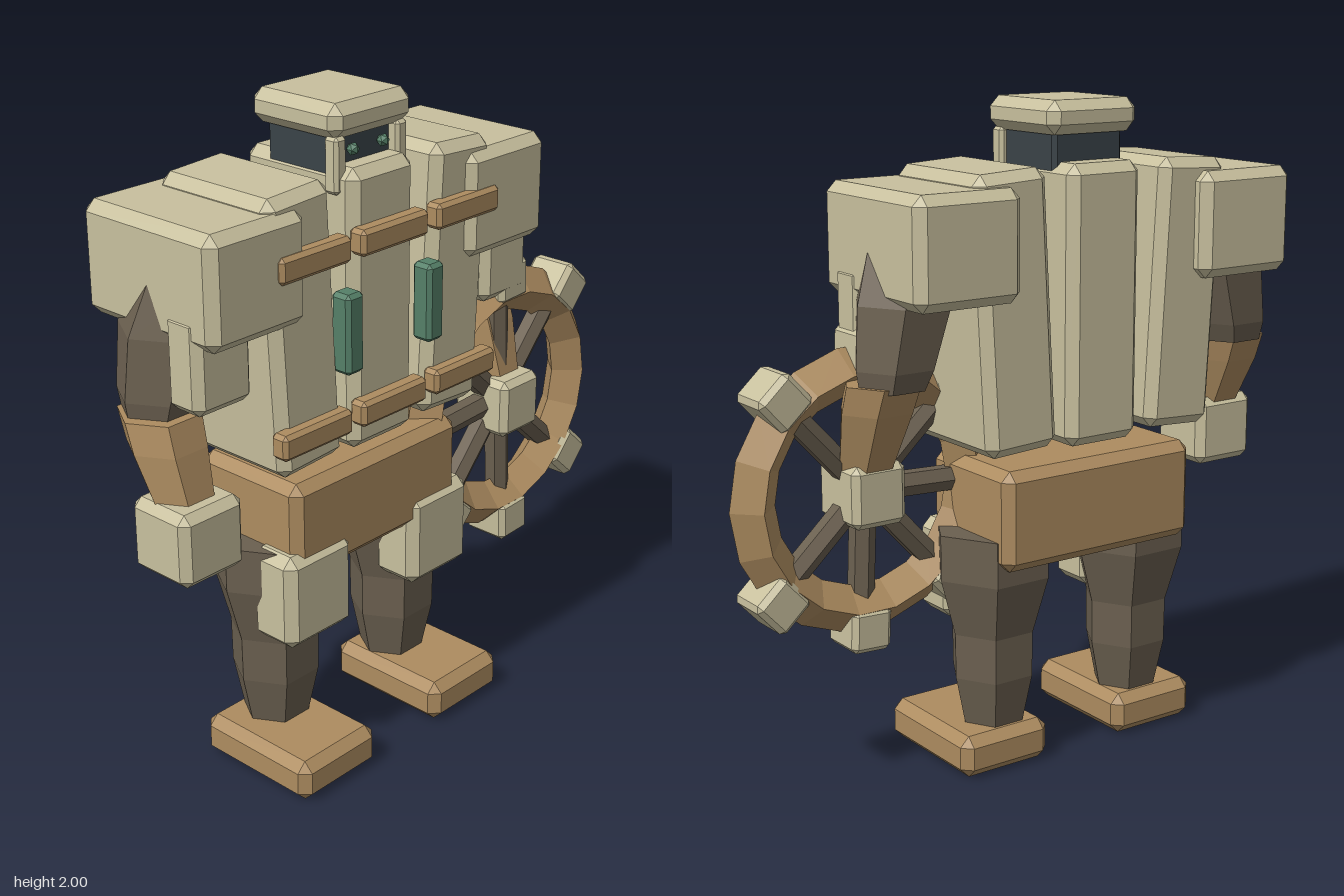
import * as THREE from 'three';
import { ConvexGeometry } from 'three/addons/geometries/ConvexGeometry.js';

const material = (name, color) => Object.assign(new THREE.MeshStandardMaterial({ color }), { name });

// Box with a single flat chamfer on every edge
function chamferBox(w, h, d, c) {
  const points = [];
  for (const x of [-1, 1]) for (const y of [-1, 1]) for (const z of [-1, 1]) {
    const X = x * w / 2, Y = y * h / 2, Z = z * d / 2;
    points.push(
      new THREE.Vector3(X, Y - y * c, Z - z * c),
      new THREE.Vector3(X - x * c, Y, Z - z * c),
      new THREE.Vector3(X - x * c, Y - y * c, Z));
  }
  return new ConvexGeometry(points);
}

function flat(geometry) {
  const g = geometry.index ? geometry.toNonIndexed() : geometry;
  g.computeVertexNormals();
  return g;
}

// Six-sided limb through rings [y, centre x, centre z, radius], listed bottom to top
function limb(rings, n = 6) {
  const pos = [], idx = [];
  for (const [y, cx, cz, r] of rings) for (let i = 0; i < n; i++) {
    const a = i / n * Math.PI * 2;
    pos.push(cx + r * Math.cos(a), y, cz + r * Math.sin(a));
  }
  const top = (rings.length - 1) * n;
  for (let k = 0; k < top; k += n) for (let i = 0; i < n; i++) {
    const j = (i + 1) % n;
    idx.push(k + i, k + n + i, k + j, k + j, k + n + i, k + n + j);
  }
  for (let i = 1; i < n - 1; i++) idx.push(0, i, i + 1, top, top + i + 1, top + i);
  const g = new THREE.BufferGeometry();
  g.setAttribute('position', new THREE.Float32BufferAttribute(pos, 3));
  g.setIndex(idx);
  return flat(g);
}

export function createModel() {
  const cream = material('cream armour', 0xc8c09e);
  const brown = material('tan brown', 0xad8c60);
  const dark = material('dark brown', 0x6b6050);
  const green = material('green', 0x558068);
  const black = material('visor slate', 0x3a4348);

  const model = new THREE.Group();
  model.name = 'robot';
  const body = new THREE.Group();
  body.name = 'body';
  body.position.x = -0.16;
  model.add(body);

  function add(name, geometry, mat, x = 0, y = 0, z = 0, parent = body) {
    const mesh = new THREE.Mesh(geometry, mat);
    mesh.name = name;
    mesh.position.set(x, y, z);
    parent.add(mesh);
    return mesh;
  }
  const box = (name, mat, size, at, c = 0.025, parent = body) =>
    add(name, chamferBox(...size, c), mat, ...at, parent);

  // Head: cap, visor and a dark neck sunk into the torso
  box('headCap', cream, [0.32, 0.098, 0.335], [0, 1.951, -0.012], 0.03);
  box('visor', black, [0.25, 0.16, 0.25], [0, 1.85, -0.015], 0.012);
  box('neck', black, [0.16, 0.12, 0.16], [0, 1.78, -0.02], 0.01);

  // Torso centre slab and pelvis
  box('chestCentre', cream, [0.26, 0.825, 0.425], [0, 1.412, -0.022], 0.03);
  box('pelvis', brown, [0.70, 0.305, 0.40], [0, 0.803, -0.025], 0.03);
  for (const y of [1.632, 1.128])
    box('centreStrap', brown, [0.272, 0.076, 0.06], [0, y, 0.205], 0.012);

  for (const s of [-1, 1]) {
    const side = s > 0 ? 'left' : 'right';

    // Head details
    box(side + 'VisorPost', cream, [0.045, 0.16, 0.05], [s * 0.122, 1.83, 0.118], 0.01);
    add(side + 'Eye', flat(new THREE.IcosahedronGeometry(0.019)), green, s * 0.06, 1.862, 0.125);

    // Outward leaning chest slab with straps and green lamp
    const slab = box(side + 'ChestSlab', cream, [0.247, 0.81, 0.43], [s * 0.31, 1.415, -0.02], 0.03);
    slab.rotation.z = -s * 0.055;
    for (const y of [1.632, 1.128])
      box(side + 'Strap', brown, [0.27, 0.076, 0.06], [s * 0.31, y, 0.205], 0.012);
    box(side + 'Lamp', green, [0.068, 0.235, 0.07], [s * 0.167, 1.385, 0.203], 0.012);

    // Arm
    box(side + 'Shoulder', cream, [0.352, 0.32, 0.505], [s * 0.503, 1.62, -0.032], 0.03);
    add(side + 'UpperArm', limb([
      [1.22, s * 0.63, -0.06, 0.105], [1.28, s * 0.62, -0.06, 0.125],
      [1.46, s * 0.58, -0.05, 0.15], [1.6, s * 0.54, -0.025, 0.14]]), dark);
    box(side + 'ArmPlate', cream, [0.205, 0.28, 0.13], [s * 0.58, 1.41, 0.095], 0.025);
    add(side + 'Forearm', limb([
      [0.96, s * 0.65, 0.06, 0.085], [1.15, s * 0.65, -0.01, 0.115],
      [1.235, s * 0.645, -0.04, 0.12]]), brown);

    // Leg
    add(side + 'Leg', limb([
      [0.1, s * 0.26, -0.018, 0.095], [0.28, s * 0.26, -0.018, 0.133], [0.42, s * 0.26, -0.018, 0.135],
      [0.6, s * 0.26, -0.02, 0.185], [0.74, s * 0.26, -0.02, 0.185]]), dark);
    box(side + 'KneePlate', cream, [0.265, 0.295, 0.17], [s * 0.26, 0.598, 0.105], 0.03);
    box(side + 'Foot', brown, [0.315, 0.13, 0.43], [s * 0.287, 0.065, 0.07], 0.03);
  }

  // Right hand
  box('rightHand', cream, [0.226, 0.218, 0.22], [-0.652, 0.91, 0.065], 0.025);

  // Wheel held on the left hand, which forms its hub
  const wheel = new THREE.Group();
  wheel.name = 'wheel';
  wheel.position.set(0.646, 0.895, 0.082);
  body.add(wheel);
  box('wheelHub', cream, [0.178, 0.186, 0.21], [0, 0, 0], 0.02, wheel);
  add('wheelRing', flat(new THREE.TorusGeometry(0.36, 0.072, 4, 18)), brown, 0, 0, 0, wheel);
  // Seven spokes with blocks, leaving the outermost place empty
  for (let k = 1; k < 8; k++) {
    const spoke = new THREE.Group();
    spoke.name = 'spoke' + k;
    spoke.rotation.z = 0.045 + k * Math.PI / 4;
    const bar = add('spokeBar', flat(new THREE.CylinderGeometry(0.04, 0.04, 0.36, 6)), dark, 0.2, 0, 0, spoke);
    bar.rotation.z = Math.PI / 2;
    box('spokeBlock', cream, [0.132, 0.132, 0.155], [0.413, 0, 0], 0.016, spoke);
    wheel.add(spoke);
  }

  return model;
}
